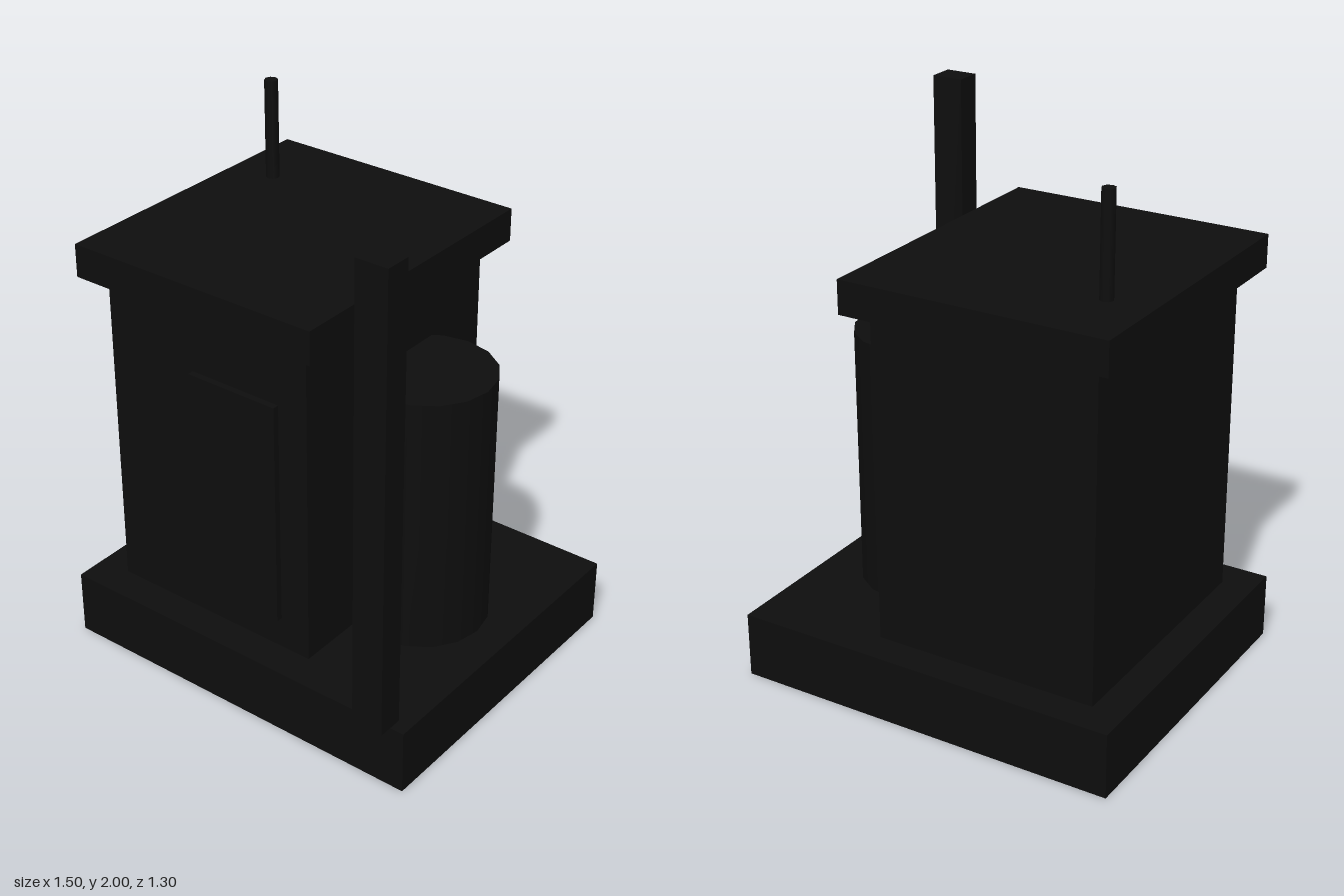
import * as THREE from 'three';

export function createModel() {
  const group = new THREE.Group();
  const black = new THREE.MeshStandardMaterial({ color: 0x0d0d0d });
  black.name = 'black';

  const add = (name, geometry, x, y, z) => {
    const mesh = new THREE.Mesh(geometry, black);
    mesh.name = name;
    mesh.position.set(x, y, z);
    group.add(mesh);
  };

  // Box given by its extents on each axis
  const box = (name, [x0, x1], [y0, y1], [z0, z1]) =>
    add(name, new THREE.BoxGeometry(x1 - x0, y1 - y0, z1 - z0),
      (x0 + x1) / 2, (y0 + y1) / 2, (z0 + z1) / 2);

  // Upright cylinder standing on y0
  const column = (name, radius, sides, x, z, y0, y1) =>
    add(name, new THREE.CylinderGeometry(radius, radius, y1 - y0, sides),
      x, (y0 + y1) / 2, z);

  // Foundation slab, hut and overhanging roof
  box('base', [-0.75, 0.75], [0, 0.25], [-0.65, 0.6]);
  box('body', [-0.625, 0.245], [0.25, 1.5], [-0.525, 0.475]);
  box('roof', [-0.7, 0.32], [1.5, 1.625], [-0.6, 0.55]);

  // Raised door panel on the front wall
  box('door', [-0.25, 0.125], [0.375, 1.25], [0.45, 0.5]);

  // Tank half sunk into the side wall
  column('tank', 0.25, 16, 0.375, -0.025, 0.25, 1.25);

  // Thin roof antenna and square post at the front corner
  column('antenna', 0.025, 8, -0.525, -0.3, 1.625, 2);
  box('post', [0.572, 0.695], [0.25, 2], [0.55, 0.65]);

  return group;
}
